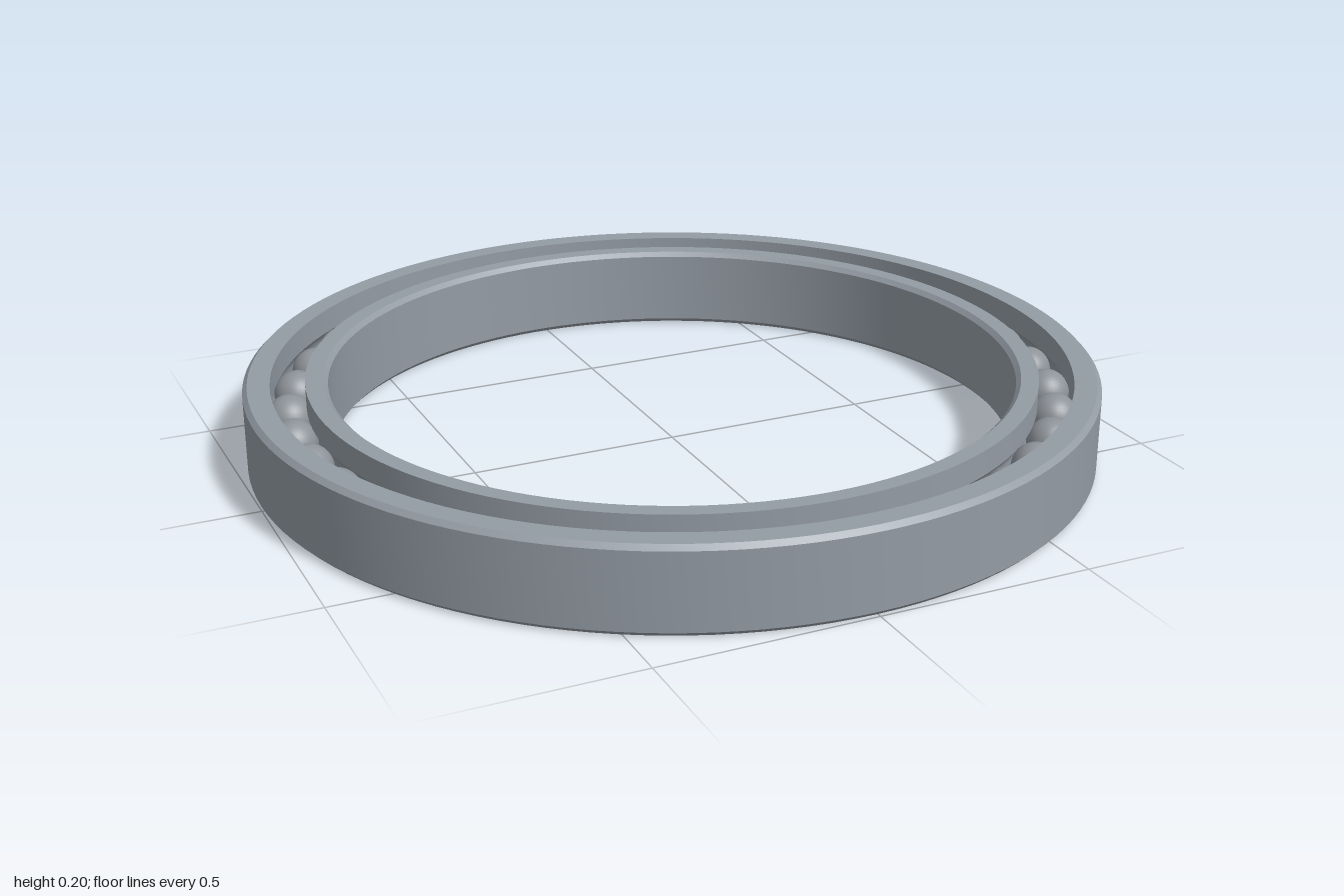
import * as THREE from 'three';
import { toCreasedNormals } from 'three/addons/utils/BufferGeometryUtils.js';

const HEIGHT = 0.2, MID = HEIGHT / 2, CHAMFER = 0.011;
const PITCH = 0.897, BALL_COUNT = 37, BALL_RADIUS = 0.056;
const GROOVE_RADIUS = 0.0575, SHOULDER = 0.04;

// Closed ring: chamfered wall on one side, ball groove on the other.
// side = 1 for the outer ring, -1 for the inner ring.
function ringGeometry(wall, side) {
  const shoulder = PITCH + side * SHOULDER;
  const edge = wall - side * CHAMFER;
  const points = [
    [shoulder, 0], [edge, 0], [wall, CHAMFER],
    [wall, HEIGHT - CHAMFER], [edge, HEIGHT], [shoulder, HEIGHT],
  ].map(([r, y]) => new THREE.Vector2(r, y));

  // Groove arc from the upper shoulder to the lower one
  const half = Math.acos(SHOULDER / GROOVE_RADIUS), steps = 10;
  for (let i = 0; i <= steps; i++) {
    const a = half * (1 - (2 * i) / steps);
    points.push(new THREE.Vector2(
      PITCH + side * GROOVE_RADIUS * Math.cos(a),
      MID + GROOVE_RADIUS * Math.sin(a)));
  }
  points.push(points[0].clone());
  if (side < 0) points.reverse(); // keep faces pointing outward
  return toCreasedNormals(new THREE.LatheGeometry(points, 128), 0.5);
}

export function createModel() {
  const model = new THREE.Group();
  model.name = 'ballBearing';

  const steel = new THREE.MeshStandardMaterial({ color: 0x939ba4 });
  steel.name = 'ring steel';
  const ballSteel = new THREE.MeshStandardMaterial({ color: 0x8e9399 });
  ballSteel.name = 'ball steel';

  // Outer and inner races
  for (const [name, wall, side] of [['outerRing', 1, 1], ['innerRing', 0.805, -1]]) {
    const ring = new THREE.Mesh(ringGeometry(wall, side), steel);
    ring.name = name;
    model.add(ring);
  }

  // Balls, evenly spaced from the front
  const balls = new THREE.Group();
  balls.name = 'balls';
  const ballGeometry = new THREE.SphereGeometry(BALL_RADIUS, 32, 20);
  for (let i = 0; i < BALL_COUNT; i++) {
    const a = (i / BALL_COUNT) * Math.PI * 2;
    const ball = new THREE.Mesh(ballGeometry, ballSteel);
    ball.name = 'ball';
    ball.position.set(PITCH * Math.sin(a), MID, PITCH * Math.cos(a));
    balls.add(ball);
  }
  model.add(balls);
  return model;
}
